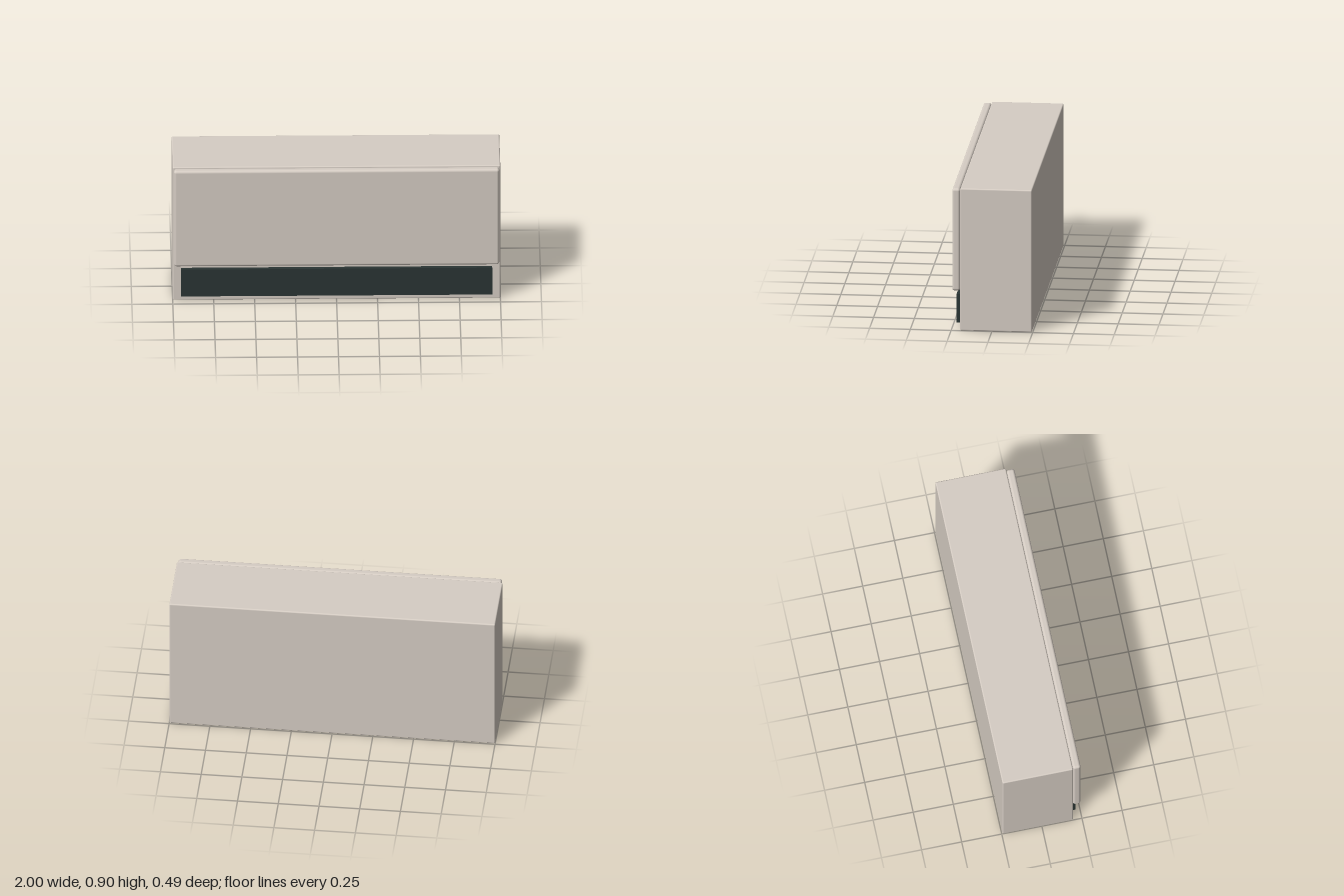
import * as THREE from 'three';
import { RoundedBoxGeometry } from 'three/addons/geometries/RoundedBoxGeometry.js';

export function createModel() {
  const group = new THREE.Group();
  const shell = new THREE.MeshStandardMaterial({ color: 0xd6cdc4 });
  shell.name = 'warm white plastic';
  const dark = new THREE.MeshStandardMaterial({ color: 0x2a3534 });
  dark.name = 'dark outlet';

  // Places a box by its lower and upper bounds; radius 0 keeps sharp edges
  function addBox(name, material, min, max, radius) {
    const [w, h, d] = max.map((v, i) => v - min[i]);
    const geometry = radius
      ? new RoundedBoxGeometry(w, h, d, 4, radius)
      : new THREE.BoxGeometry(w, h, d);
    const mesh = new THREE.Mesh(geometry, material);
    mesh.name = name;
    mesh.position.set(...max.map((v, i) => (v + min[i]) / 2));
    group.add(mesh);
  }

  // Main housing
  addBox('housing', shell, [-1, 0, -0.245], [1, 0.9, 0.195], 0.008);
  // Raised cover on the upper front
  addBox('frontCover', shell, [-0.993, 0.248, 0.196], [0.993, 0.896, 0.245], 0.016);
  // Air outlet below the cover
  addBox('airOutlet', dark, [-0.95, 0.037, 0.17], [0.95, 0.219, 0.221], 0);

  return group;
}
